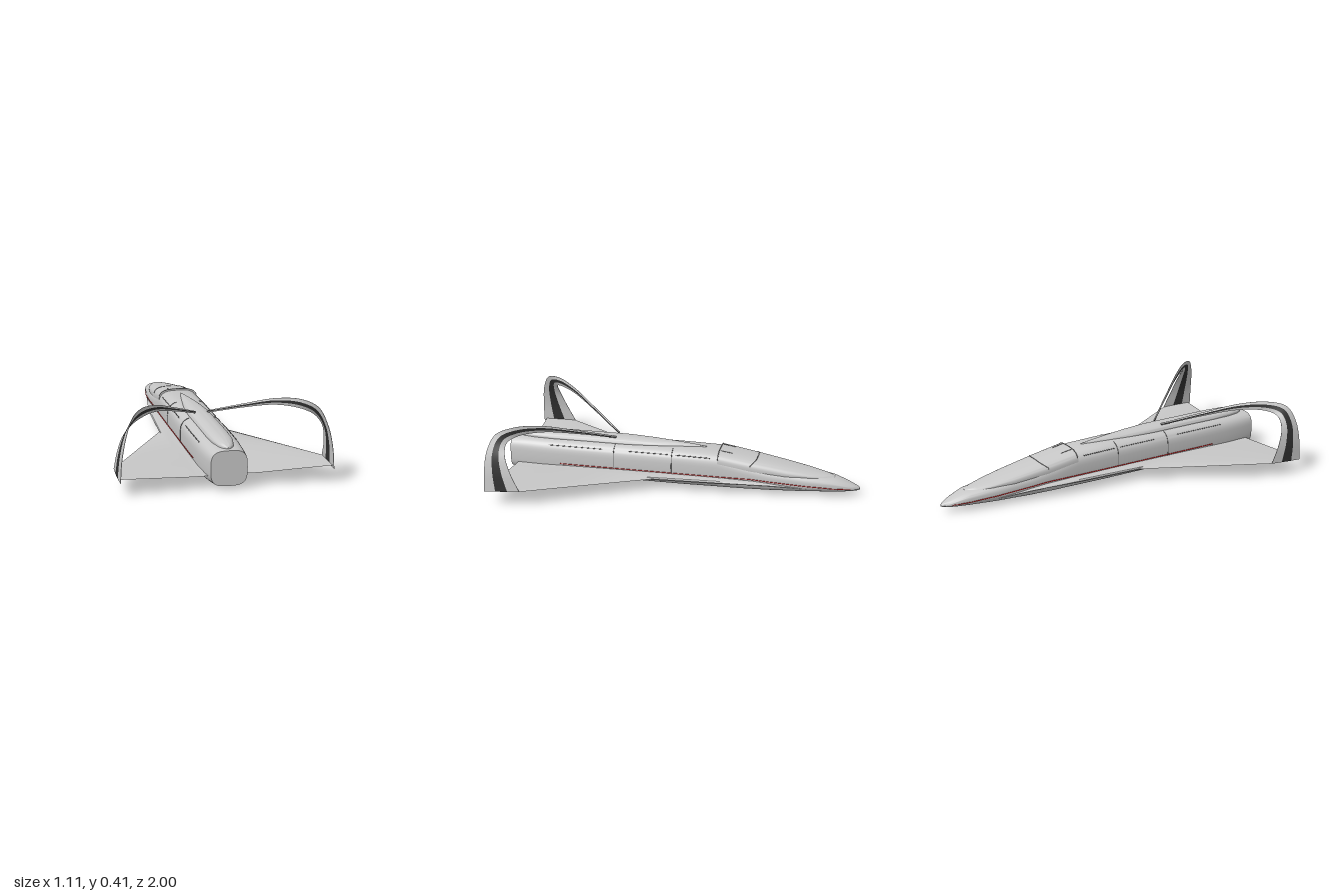
import * as THREE from 'three';
import { toCreasedNormals } from 'three/addons/utils/BufferGeometryUtils.js';

const mat = (name, color) => Object.assign(new THREE.MeshStandardMaterial({ color }), { name });
const V = (x, y, z) => new THREE.Vector3(x, y, z);

// Skin a row of closed rings, cap both ends, and face the result outward
function loft(rings, crease = 0.7) {
  const n = rings[0].length, pts = rings.flat(), idx = [];
  for (let i = 0; i < rings.length - 1; i++)
    for (let j = 0; j < n; j++) {
      const a = i * n + j, b = i * n + (j + 1) % n;
      idx.push(a, b, a + n, b, b + n, a + n);
    }
  [0, rings.length - 1].forEach((r, end) => {
    const c = pts.length, mid = V(0, 0, 0);
    rings[r].forEach(p => mid.addScaledVector(p, 1 / n));
    pts.push(mid);
    for (let j = 0; j < n; j++) {
      const a = r * n + j, b = r * n + (j + 1) % n;
      idx.push(...(end ? [c, a, b] : [c, b, a]));
    }
  });
  let volume = 0;
  for (let i = 0; i < idx.length; i += 3)
    volume += pts[idx[i]].dot(V(0, 0, 0).crossVectors(pts[idx[i + 1]], pts[idx[i + 2]]));
  if (volume < 0) idx.reverse();
  const g = new THREE.BufferGeometry().setFromPoints(pts);
  g.setIndex(idx);
  return toCreasedNormals(g, crease);
}

// Hull stations: [z, half width, bottom, top, squareness]
const BODY = [
  [-1, 0.004, 0.034, 0.046, 2], [-0.985, 0.02, 0.029, 0.054, 2], [-0.96, 0.036, 0.026, 0.064, 2.1],
  [-0.92, 0.052, 0.023, 0.08, 2.2], [-0.85, 0.071, 0.02, 0.103, 2.4], [-0.7, 0.093, 0.014, 0.122, 2.7],
  [-0.5, 0.108, 0.008, 0.146, 3], [-0.35, 0.113, 0.004, 0.176, 3.2], [-0.21, 0.115, 0.002, 0.214, 3.3],
  [0, 0.116, 0, 0.217, 3.4], [0.6, 0.116, 0, 0.217, 3.4], [0.8, 0.113, 0.005, 0.215, 3.4],
  [0.92, 0.104, 0.014, 0.212, 3.4], [1, 0.095, 0.024, 0.208, 3.4]];
const CANOPY = [
  [-0.86, 0.008, 0.09, 0.104, 2], [-0.84, 0.03, 0.085, 0.109, 2], [-0.8, 0.05, 0.08, 0.117, 2.1],
  [-0.72, 0.073, 0.078, 0.132, 2.3], [-0.6, 0.092, 0.076, 0.154, 2.5], [-0.4, 0.106, 0.08, 0.191, 2.7],
  [-0.21, 0.111, 0.1, 0.222, 2.9]];
const SPINE = [
  [-0.13, 0.004, 0.2, 0.219, 2], [-0.06, 0.018, 0.195, 0.226, 2], [0.05, 0.034, 0.19, 0.234, 2],
  [0.18, 0.051, 0.188, 0.241, 2], [0.32, 0.06, 0.186, 0.246, 2.1], [0.75, 0.06, 0.186, 0.246, 2.1],
  [0.86, 0.054, 0.188, 0.243, 2.1], [0.93, 0.04, 0.192, 0.235, 2], [0.96, 0.024, 0.198, 0.226, 2],
  [0.974, 0.004, 0.206, 0.216, 2]];

function stationAt(list, z) {
  const i = Math.max(1, list.findIndex(s => s[0] >= z)), a = list[i - 1], b = list[i];
  const t = (z - a[0]) / (b[0] - a[0]);
  return a.map((v, k) => v + (b[k] - v) * t);
}
function hullPoint([z, w, b, t, n], angle, grow = 0) {
  const c = Math.cos(angle), s = Math.sin(angle), e = 2 / n;
  return V((w + grow) * Math.sign(c) * Math.abs(c) ** e,
    (b + t) / 2 + ((t - b) / 2 + grow) * Math.sign(s) * Math.abs(s) ** e, z);
}
const hull = list => loft(list.map(s =>
  Array.from({ length: 48 }, (_, j) => hullPoint(s, j / 48 * Math.PI * 2))));

// The strakes and side stripes droop toward the nose
const droop = z => 0.075 * Math.max(0, -0.4 - z);

// Wing with strake: spanwise stations [x, leading z, trailing z, y, half thickness]
function wing(side) {
  const spans = [[0.05, -0.88, 0.955, 0.068, 0.014], [0.09, -0.7, 0.955, 0.068, 0.014],
    [0.12, -0.52, 0.957, 0.068, 0.014], [0.155, -0.3, 0.96, 0.069, 0.013],
    [0.18, 0.13, 0.963, 0.07, 0.012], [0.36, 0.456, 0.974, 0.08, 0.008], [0.55, 0.8, 0.985, 0.09, 0.003]];
  const prof = [[0, 0], [0.06, 0.6], [0.2, 0.9], [0.45, 1], [0.75, 0.7], [1, 0.1],
    [0.75, -0.7], [0.45, -1], [0.2, -0.9], [0.06, -0.6]];
  return loft(spans.map(([x, z0, z1, y, h]) => prof.map(([f, k]) => {
    const z = z0 + (z1 - z0) * f;
    return V(side * x, y + h * k - droop(z), z);
  })));
}

// Arched fin edges, from the spine over and down to the wing tip
const curve = list => new THREE.CatmullRomCurve3(list.map(p => V(...p)));
const OUTER = curve([[0.035, 0.25, 0.385], [0.19, 0.33, 0.575], [0.32, 0.392, 0.735], [0.42, 0.41, 0.86],
  [0.48, 0.385, 0.945], [0.517, 0.3, 0.985], [0.54, 0.19, 0.998], [0.549, 0.075, 1]]);
const INNER = curve([[0.035, 0.238, 0.39], [0.19, 0.308, 0.575], [0.32, 0.355, 0.73], [0.42, 0.358, 0.845],
  [0.475, 0.335, 0.885], [0.517, 0.28, 0.883], [0.54, 0.19, 0.85], [0.549, 0.09, 0.8]]);
function finStrip(side, f0, f1) {
  const rings = [];
  for (let i = 0; i <= 48; i++) {
    const t = i / 48, a = INNER.getPoint(t), b = OUTER.getPoint(t);
    const normal = V(0, 0, 0).crossVectors(OUTER.getTangent(t), b.clone().sub(a)).normalize();
    const at = (f, k) => a.clone().lerp(b, f)
      .addScaledVector(normal, k * (f === 0 || f === 1 ? 0.001 : 0.004));
    rings.push([at(f0, 1), at(f1, 1), at(f1, -1), at(f0, -1)].map(p => p.setX(p.x * side)));
  }
  return loft(rings);
}

const line = (pts, r) =>
  new THREE.TubeGeometry(new THREE.CatmullRomCurve3(pts), pts.length * 3, r, 6, false);
const steps = (a, b, n, fn) => Array.from({ length: n + 1 }, (_, i) => fn(a + (b - a) * i / n));

export function createModel() {
  const grey = mat('hullGrey', 0xc8c8c8), dark = mat('stripeBlack', 0x303030);
  const red = mat('pinstripeRed', 0xd01818), seam = mat('seamGrey', 0x6e6e6e);
  const model = new THREE.Group();
  model.name = 'spacecraft';
  const add = (name, geometry, material) => {
    const m = new THREE.Mesh(geometry, material);
    m.name = name;
    model.add(m);
  };

  add('fuselage', hull(BODY), grey);
  add('canopy', hull(CANOPY), grey);
  add('dorsalSpine', hull(SPINE), grey);

  // Canopy frame seams
  for (const z of [-0.425, -0.213])
    add('canopySeam', line(steps(0.25, Math.PI - 0.25, 24, a => {
      const bow = z < -0.3 ? 0.035 * Math.abs(Math.cos(a)) ** 3 : 0;
      return hullPoint(stationAt(CANOPY, z + bow), a);
    }), 0.0022), seam);

  for (const side of [1, -1]) {
    const label = side > 0 ? 'left' : 'right';
    const mirror = p => p.setX(p.x * side);
    add(label + 'Wing', wing(side), grey);
    add(label + 'FinLeadingBand', finStrip(side, 0, 0.34), grey);
    add(label + 'FinStripe', finStrip(side, 0.34, 0.68), dark);
    add(label + 'FinTrailingBand', finStrip(side, 0.68, 1), grey);

    // Pinstripe along the join of hull and strake
    add(label + 'Pinstripe', line(steps(-0.95, 0.7, 44, z => {
      const [, w, b, t, n] = stationAt(BODY, z), y = 0.085 - droop(z);
      const k = Math.min(1, Math.abs(2 * y - b - t) / (t - b));
      return V(side * w * (1 - k ** n) ** (1 / n), y, z);
    }), 0.0025), red);

    // Cargo bay door seams
    for (const z of [0.05, 0.385])
      add(label + 'DoorSeam', line(steps(-0.3, 1.2, 16, a =>
        mirror(hullPoint(stationAt(BODY, z), a))), 0.002), seam);
    for (const [z0, z1] of [[-0.17, 0.03], [0.07, 0.3], [0.45, 0.77]])
      add(label + 'ShoulderSeam', line(steps(z0, z1, 6, z =>
        mirror(hullPoint(stationAt(BODY, z), 0.66))), 0.0022), seam);

    // Cockpit hatch marks
    add(label + 'HatchMark', line(steps(-0.285, -0.22, 4, z =>
      mirror(hullPoint(stationAt(CANOPY, z), 1.25))), 0.002), seam);
  }
  return model;
}
